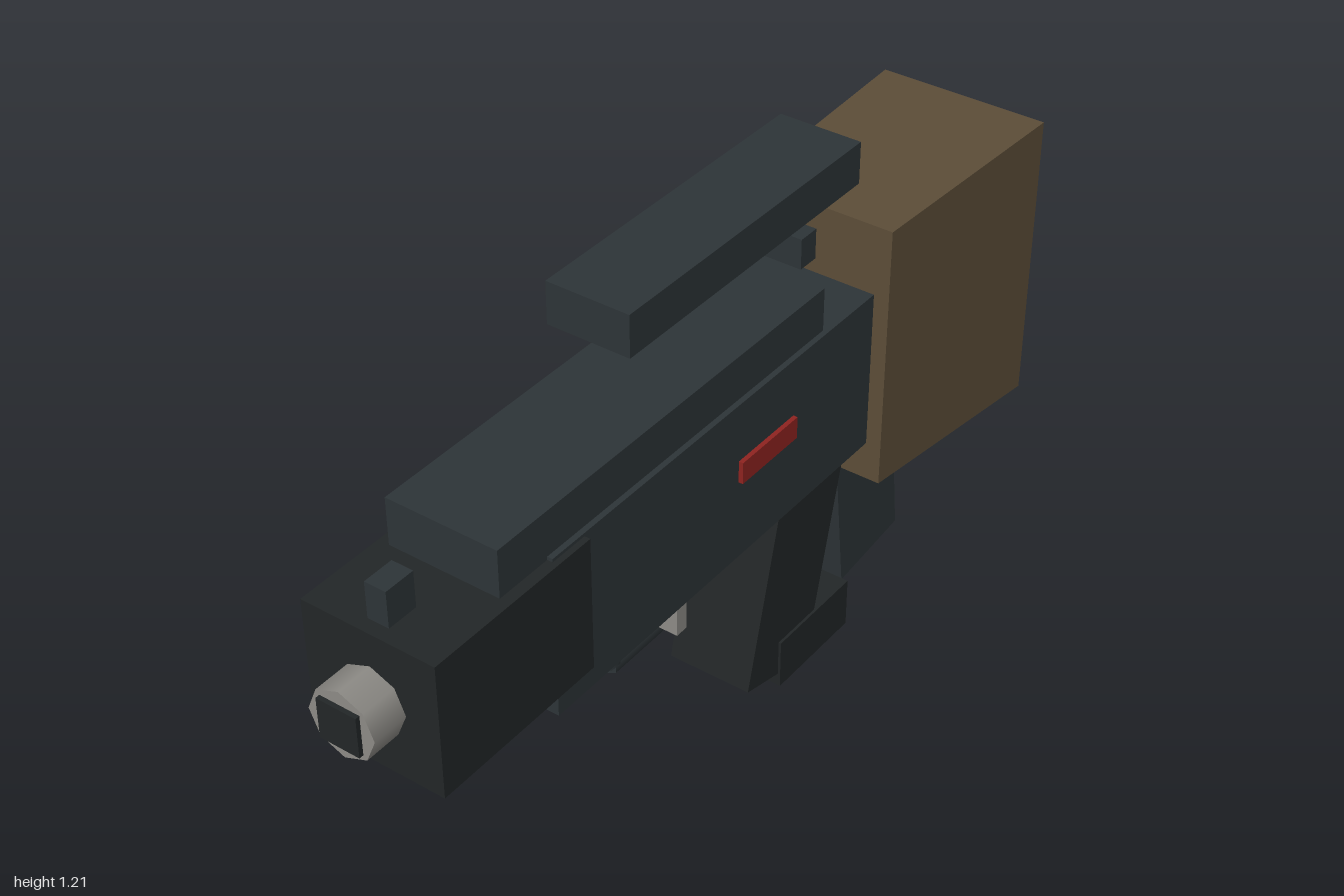
import * as THREE from 'three';

export function createModel() {
  const model = new THREE.Group();
  model.name = 'toyRifle';
  const mat = (color, flatShading = true) => {
    const m = new THREE.MeshStandardMaterial({ flatShading });
    m.color.set(color);
    return m;
  };
  const slate = mat(0x2d3437), dark = mat(0x222627), tan = mat(0x5c4d38);
  const red = mat(0x8e2320), steel = mat(0x8c8a85);
  const slateRound = mat(0x2d3437, false), steelRound = mat(0x8c8a85, false);

  const add = (name, geometry, material) => {
    const mesh = new THREE.Mesh(geometry, material);
    mesh.name = name;
    model.add(mesh);
    return mesh;
  };
  // Box from its x, y and z ranges
  const block = (name, [x0, x1], [y0, y1], [z0, z1], material) =>
    add(name, new THREE.BoxGeometry(x1 - x0, y1 - y0, z1 - z0), material)
      .position.set((x0 + x1) / 2, (y0 + y1) / 2, (z0 + z1) / 2);
  // Box standing on a base point and leaning forward by an angle
  const leaning = (name, w, h, d, y, z, angle, material) => {
    const mesh = add(name, new THREE.BoxGeometry(w, h, d).translate(0, h / 2, 0), material);
    mesh.position.set(0, y, z);
    mesh.rotation.x = angle;
  };
  // Round bar between two [y, z] points
  const bar = (name, x, [y0, z0], [y1, z1], radius, sides, material) => {
    const length = Math.hypot(y1 - y0, z1 - z0);
    const mesh = add(name, new THREE.CylinderGeometry(radius, radius, length, sides), material);
    mesh.position.set(x, (y0 + y1) / 2, (z0 + z1) / 2);
    mesh.rotation.x = Math.atan2(z1 - z0, y1 - y0);
  };

  // Main body
  block('receiver', [-0.137, 0.137], [0.51, 0.877], [-0.45, 0.58], slate);
  block('receiverUnderside', [-0.125, 0.125], [0.5, 0.53], [-0.45, -0.2], dark);
  block('foreEnd', [-0.15, 0.15], [0.57, 0.87], [0.49, 0.91], dark);
  block('topCover', [-0.125, 0.125], [0.86, 0.975], [-0.285, 0.71], slate);
  block('sidePlate', [-0.143, -0.13], [0.67, 0.77], [-0.2, 0.13], slate);
  block('sideMarker', [0.13, 0.147], [0.695, 0.745], [-0.17, 0.015], red);

  // Sights and the rail above
  block('sightRail', [-0.093, 0.093], [1.12, 1.212], [-0.445, 0.293], slate);
  block('rearSight', [-0.085, 0.085], [1.015, 1.082], [-0.31, -0.26], slate);
  block('frontSight', [-0.024, 0.024], [0.86, 0.95], [0.81, 0.88], slate);

  // Muzzle
  bar('barrel', 0, [0.72, 0.89], [0.72, 0.99], 0.075, 8, steelRound);
  block('muzzle', [-0.045, 0.045], [0.675, 0.765], [0.9, 1], dark);

  // Stock, narrower and shallower at its front end
  const stock = new THREE.BoxGeometry(0.39, 0.67, 0.55).translate(0, 0.7, -0.725);
  const p = stock.attributes.position;
  for (let i = 0; i < p.count; i++) {
    if (p.getZ(i) > -0.7) {
      p.setX(i, Math.sign(p.getX(i)) * 0.172);
      if (p.getY(i) < 0.7) p.setY(i, 0.42);
    }
  }
  stock.computeVertexNormals();
  add('stock', stock, tan);
  block('stockFoot', [-0.135, 0.135], [0.325, 0.385], [-0.99, -0.9], dark);

  // Grip and magazine
  leaning('grip', 0.2, 0.5, 0.225, 0.033, -0.195, -0.243, dark);
  block('gripBase', [-0.106, 0.106], [0, 0.12], [-0.455, -0.198], dark);
  leaning('magazine', 0.13, 0.38, 0.22, 0.09, -0.605, 0.12, slate);

  // Trigger and its guard
  block('trigger', [-0.023, 0.023], [0.28, 0.42], [0.028, 0.06], steel);
  bar('guardFront', -0.115, [0.18, 0.12], [0.48, 0.12], 0.03, 6, slateRound);
  bar('guardBottom', -0.115, [0.18, -0.13], [0.18, 0.12], 0.03, 6, slateRound);
  bar('guardRear', -0.115, [0.18, -0.13], [0.47, -0.178], 0.03, 6, slateRound);

  return model;
}
